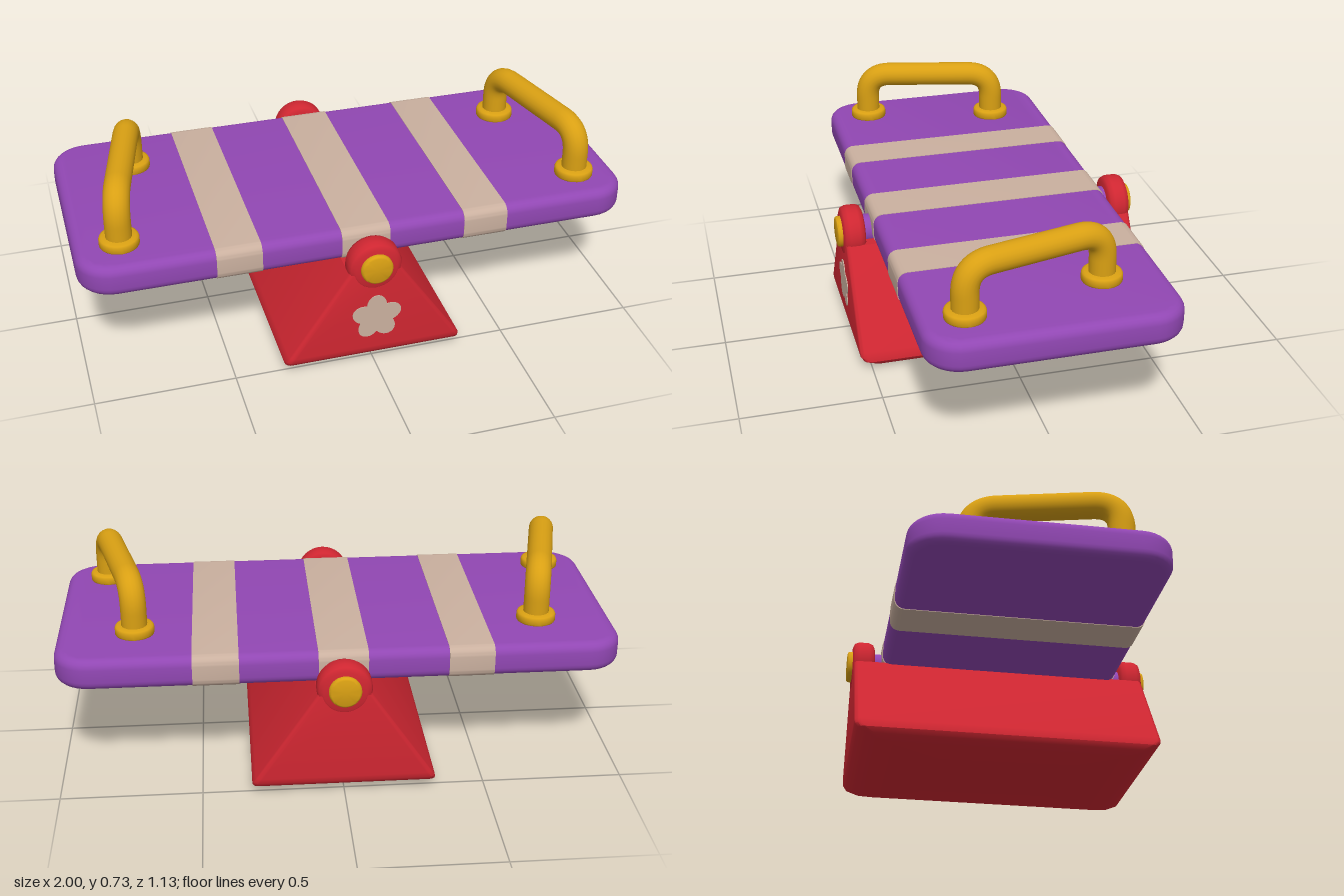
import * as THREE from 'three';
import { toCreasedNormals } from 'three/addons/utils/BufferGeometryUtils.js';

const paint = (name, color) => {
  const m = new THREE.MeshStandardMaterial({ color });
  m.name = name;
  return m;
};

// Counter-clockwise outline of a rounded rectangle
function roundRect(hx, hy, r, n = 8) {
  const pts = [];
  [[1, 1], [-1, 1], [-1, -1], [1, -1]].forEach(([sx, sy], q) => {
    for (let k = 0; k <= n; k++) {
      const a = (q + k / n) * Math.PI / 2;
      pts.push(new THREE.Vector2(sx * (hx - r) + r * Math.cos(a), sy * (hy - r) + r * Math.sin(a)));
    }
  });
  return pts;
}

// Skin over rounded-rectangle sections [y, halfX, halfZ], capped at both ends
function loft(sections, r) {
  const pos = [], idx = [];
  const rings = sections.map(([y, hx, hz]) => roundRect(hx, hz, r, 5).map(p => [p.x, y, -p.y]));
  const n = rings[0].length, last = rings.length - 1;
  rings.forEach(ring => ring.forEach(p => pos.push(...p)));
  pos.push(0, sections[0][0], 0, 0, sections[last][0], 0);
  const bottom = rings.length * n;
  for (let j = 0; j < n; j++) {
    const k = (j + 1) % n;
    for (let i = 0; i < last; i++) {
      const a = i * n + j, b = i * n + k;
      idx.push(a, b, b + n, a, b + n, a + n);
    }
    idx.push(bottom, k, j, bottom + 1, last * n + j, last * n + k);
  }
  const g = new THREE.BufferGeometry();
  g.setAttribute('position', new THREE.Float32BufferAttribute(pos, 3));
  g.setIndex(idx);
  return toCreasedNormals(g, 0.75);
}

// Solid disc with softened rims, from y = 0 to y = h
function softDisc(r, h, b) {
  const pts = [[0, 0], [r - b, 0], [r - b * 0.3, b * 0.3], [r, b], [r, h - b],
    [r - b * 0.3, h - b * 0.3], [r - b, h], [0, h]].map(p => new THREE.Vector2(...p));
  return toCreasedNormals(new THREE.LatheGeometry(pts, 32), 0.85);
}

export function createModel() {
  const model = new THREE.Group();
  model.name = 'seesaw';
  const purple = paint('purple', 0x9147b3);
  const red = paint('red', 0xcf2631);
  const gold = paint('gold', 0xd9a013);
  const beige = paint('beige', 0xcab09f);

  const add = (parent, name, geometry, material, x = 0, y = 0, z = 0) => {
    const mesh = new THREE.Mesh(geometry, material);
    mesh.name = name;
    mesh.position.set(x, y, z);
    parent.add(mesh);
    return mesh;
  };

  // Plank with rounded corners and soft edges
  const W = 0.437, yMid = 0.4425, H = 0.0575, bevel = 0.034;
  const plank = new THREE.ExtrudeGeometry(new THREE.Shape(roundRect(1, W, 0.125)), {
    depth: 2 * (H - bevel), bevelThickness: bevel, bevelSize: bevel, bevelOffset: -bevel, bevelSegments: 5,
  });
  plank.translate(0, 0, bevel - H).rotateX(-Math.PI / 2);
  add(model, 'plank', toCreasedNormals(plank, 0.6), purple, 0, yMid, 0);

  // Painted bands wrapped around the plank
  for (const [x0, x1] of [[-0.535, -0.375], [-0.092, 0.083], [0.358, 0.52]]) {
    const band = new THREE.ExtrudeGeometry(
      new THREE.Shape(roundRect(W + 0.002, H + 0.002, bevel)), { depth: x1 - x0, bevelEnabled: false });
    band.rotateY(Math.PI / 2);
    add(model, 'stripe', toCreasedNormals(band, 0.6), beige, x0, yMid, 0);
  }

  // Wedge base, rounded under and cut flat beneath the plank
  add(model, 'base', loft([
    [0, 0.255, 0.4], [0.006, 0.285, 0.45], [0.018, 0.312, 0.495], [0.036, 0.325, 0.53],
    [0.052, 0.322, 0.541], [0.07, 0.312, 0.543], [0.392, 0.095, 0.543],
  ], 0.022), red);

  // Axle, side bosses and end caps
  const axle = new THREE.CylinderGeometry(0.054, 0.054, 1, 32).rotateX(Math.PI / 2);
  add(model, 'axle', axle, purple, 0, 0.41, 0);
  for (const side of [1, -1]) {
    const boss = add(model, 'pivotBoss', softDisc(0.097, 0.08, 0.022), red, 0, 0.407, side * 0.465);
    const cap = add(model, 'axleCap', softDisc(0.057, 0.04, 0.008), gold, 0, 0.41, side * 0.523);
    boss.rotation.x = cap.rotation.x = side * Math.PI / 2;
  }

  // Rounded star on the front of the base
  const star = [];
  for (let i = 0; i < 60; i++) {
    const t = i / 60 * Math.PI * 2;
    const r = 0.062 + 0.03 * Math.abs(Math.cos(2.5 * t));
    star.push(new THREE.Vector2(-r * Math.sin(t), r * Math.cos(t)));
  }
  add(model, 'star', new THREE.ExtrudeGeometry(new THREE.Shape(star),
    { depth: 0.005, bevelEnabled: false }), beige, 0.004, 0.2, 0.541);

  // Handles, splayed towards the front
  for (const side of [1, -1]) {
    const handle = new THREE.Group();
    handle.name = side > 0 ? 'leftHandle' : 'rightHandle';
    const front = new THREE.Vector3(side * 0.84, 0, 0.284);
    const back = new THREE.Vector3(side * 0.722, 0, -0.212);
    const at = (t, y) => front.clone().lerp(back, t).setY(y);
    const top = 0.681, bend = 0.095, f = bend / front.distanceTo(back);
    const path = new THREE.CurvePath();
    path.add(new THREE.LineCurve3(at(0, 0.49), at(0, top - bend)));
    path.add(new THREE.QuadraticBezierCurve3(at(0, top - bend), at(0, top), at(f, top)));
    path.add(new THREE.LineCurve3(at(f, top), at(1 - f, top)));
    path.add(new THREE.QuadraticBezierCurve3(at(1 - f, top), at(1, top), at(1, top - bend)));
    path.add(new THREE.LineCurve3(at(1, top - bend), at(1, 0.49)));
    add(handle, 'grip', new THREE.TubeGeometry(path, 72, 0.046, 20), gold);
    for (const p of [front, back]) {
      add(handle, 'flange', softDisc(0.07, 0.04, 0.01), gold, p.x, 0.493, p.z);
    }
    model.add(handle);
  }
  return model;
}
